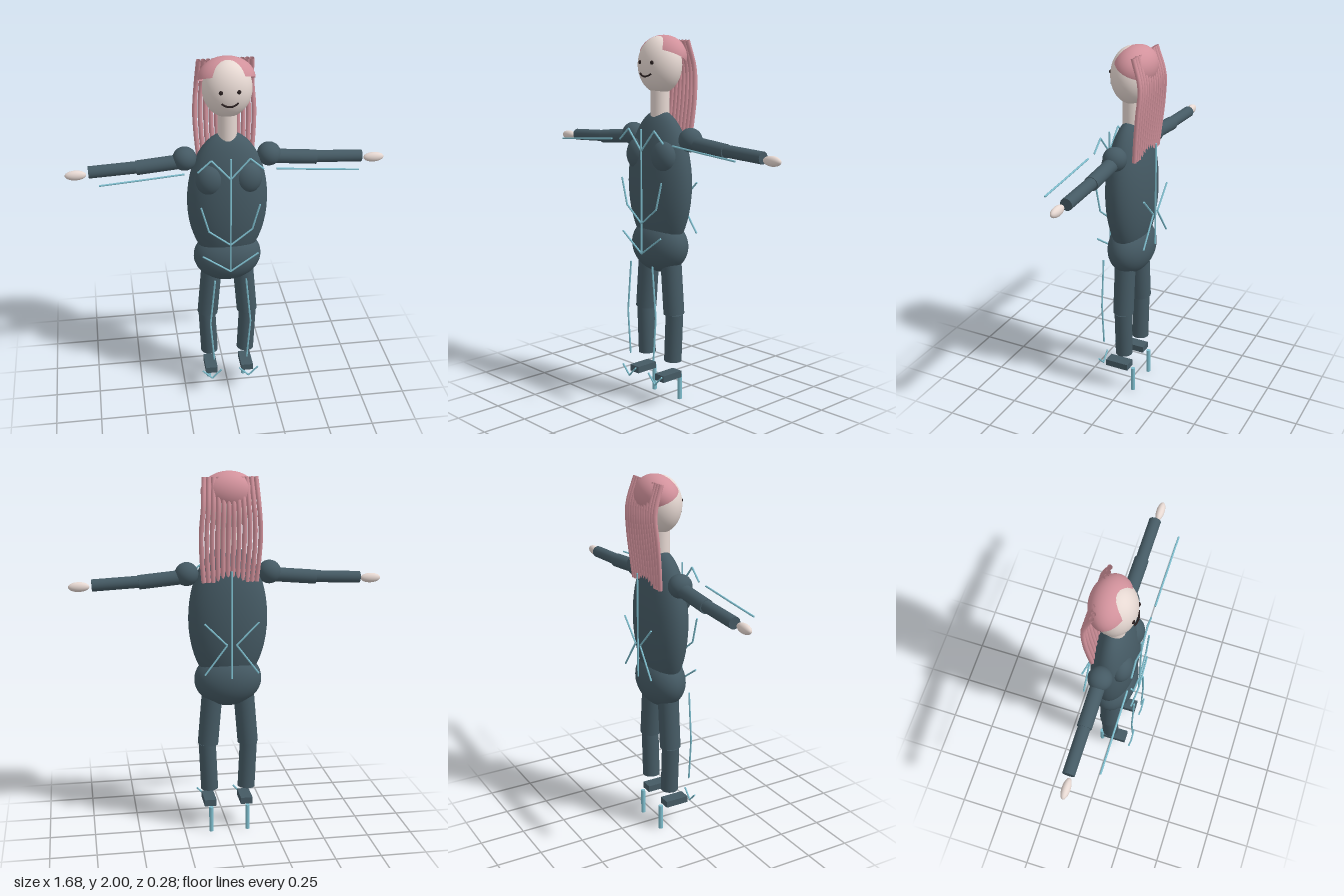
import * as THREE from 'three';

const mat = (color, side = THREE.FrontSide) => new THREE.MeshStandardMaterial({ color, side });
const V = (x, y, z) => new THREE.Vector3(x, y, z);

export function createModel() {
  const model = new THREE.Group();
  const suit = mat(0x455a64), skin = mat(0xe6d8d2), hair = mat(0xd2929c, THREE.DoubleSide);
  const trim = mat(0x7fbfcf), dark = mat(0x2a2020);

  const add = (name, geometry, material, parent = model) => {
    const mesh = new THREE.Mesh(geometry, material);
    mesh.name = name;
    parent.add(mesh);
    return mesh;
  };

  const ellipsoid = (name, material, pos, radii) => {
    const mesh = add(name, new THREE.SphereGeometry(1, 32, 24), material);
    mesh.position.set(...pos);
    mesh.scale.set(...radii);
    return mesh;
  };

  // Straight cylinder between two points
  const rod = (name, material, a, b, r, sides = 24, parent = model) => {
    const dir = b.clone().sub(a);
    const mesh = add(name, new THREE.CylinderGeometry(r, r, dir.length(), sides), material, parent);
    mesh.position.copy(a).lerp(b, 0.5);
    mesh.quaternion.setFromUnitVectors(V(0, 1, 0), dir.normalize());
    return mesh;
  };

  // Thin piping through [x, y] points at a fixed depth
  const piping = (name, z, points) => {
    const group = new THREE.Group();
    group.name = name;
    for (let i = 1; i < points.length; i++) {
      rod(name + 'Segment', trim, V(...points[i - 1], z), V(...points[i], z), 0.005, 8, group);
    }
    model.add(group);
  };

  // Body
  ellipsoid('torso', suit, [0, 1.22, 0], [0.215, 0.39, 0.12]);
  ellipsoid('hips', suit, [0, 0.878, 0], [0.185, 0.15, 0.12]);
  rod('neck', skin, V(0, 1.57, 0), V(0, 1.72, 0), 0.05);
  ellipsoid('head', skin, [0, 1.845, 0], [0.128, 0.15, 0.108]);

  // Smile
  const smile = new THREE.QuadraticBezierCurve3(V(-0.042, 1.803, 0.1), V(0, 1.773, 0.12), V(0.042, 1.803, 0.1));
  add('mouth', new THREE.TubeGeometry(smile, 16, 0.005, 8), dark);

  // Hair cap, tipped backwards
  const cap = add('hairCap', new THREE.SphereGeometry(1, 32, 16, 0, Math.PI * 2, 0, Math.PI / 2), hair);
  cap.scale.set(0.147, 0.115, 0.105);
  cap.position.set(0, 1.887, -0.02);
  cap.rotation.x = -0.45;

  // Long strands hanging down the back
  const strands = 12;
  for (let i = 0; i < strands; i++) {
    const x = -0.135 + 0.27 * i / (strands - 1);
    const path = new THREE.CatmullRomCurve3([
      V(x, 1.972, -0.07), V(x * 1.07, 1.83, -0.112), V(x * 1.15, 1.69, -0.105),
      V(x * 1.12, 1.56, -0.092), V(x * 1.04, 1.43, -0.08),
    ]);
    add('hairStrand', new THREE.TubeGeometry(path, 14, 0.0125, 8), hair);
  }

  for (const s of [-1, 1]) {
    const side = s > 0 ? 'left' : 'right';
    ellipsoid(side + 'Eye', dark, [s * 0.045, 1.86, 0.099], [0.011, 0.011, 0.008]);
    ellipsoid(side + 'Chest', suit, [s * 0.098, 1.37, 0.062], [0.077, 0.088, 0.06]);

    // Arm
    ellipsoid(side + 'Shoulder', suit, [s * 0.222, 1.465, -0.01], [0.063, 0.063, 0.063]);
    rod(side + 'UpperArm', suit, V(s * 0.22, 1.452, -0.01), V(s * 0.475, 1.429, -0.01), 0.038);
    rod(side + 'Forearm', suit, V(s * 0.47, 1.432, -0.01), V(s * 0.72, 1.42, -0.01), 0.032);
    ellipsoid(side + 'Hand', skin, [s * 0.786, 1.412, 0], [0.055, 0.026, 0.022]);

    // Leg
    rod(side + 'Thigh', suit, V(s * 0.088, 0.79, 0), V(s * 0.112, 0.508, 0), 0.057);
    rod(side + 'Calf', suit, V(s * 0.116, 0.508, 0), V(s * 0.104, 0.24, 0), 0.048);

    // Shoe and heel
    add(side + 'Shoe', new THREE.BoxGeometry(0.067, 0.037, 0.135), suit).position.set(s * 0.103, 0.159, 0.033);
    rod(side + 'Heel', trim, V(s * 0.103, 0, -0.055), V(s * 0.103, 0.145, -0.055), 0.012, 16);

    // Piping on the limbs and back
    piping(side + 'ArmPiping', 0.135, [[s * 0.237, 1.447], [s * 0.45, 1.429], [s * 0.67, 1.412]]);
    piping(side + 'LegPiping', 0.135, [[s * 0.085, 0.79], [s * 0.112, 0.51], [s * 0.093, 0.265]]);
    piping(side + 'ShoePiping', 0.135, [[s * 0.158, 0.185], [s * 0.105, 0.13], [s * 0.052, 0.185]]);
    piping(side + 'BackPiping', -0.137, [[s * 0.145, 1.22], [s * 0.025, 1.1], [s * 0.145, 0.94]]);
  }

  // Piping on the middle of the body
  piping('frontSeam', 0.135, [[0, 1.515], [0, 0.85]]);
  piping('backSeam', -0.137, [[0, 1.495], [0, 0.915]]);
  piping('collarPiping', 0.135, [[-0.17, 1.45], [-0.1, 1.512], [0, 1.4], [0.1, 1.512], [0.17, 1.45]]);
  piping('waistPiping', 0.135, [[-0.155, 1.245], [-0.115, 1.1], [0, 1.01], [0.115, 1.1], [0.155, 1.245]]);
  piping('hipPiping', 0.135, [[-0.15, 0.95], [0, 0.845], [0.15, 0.95]]);

  return model;
}
